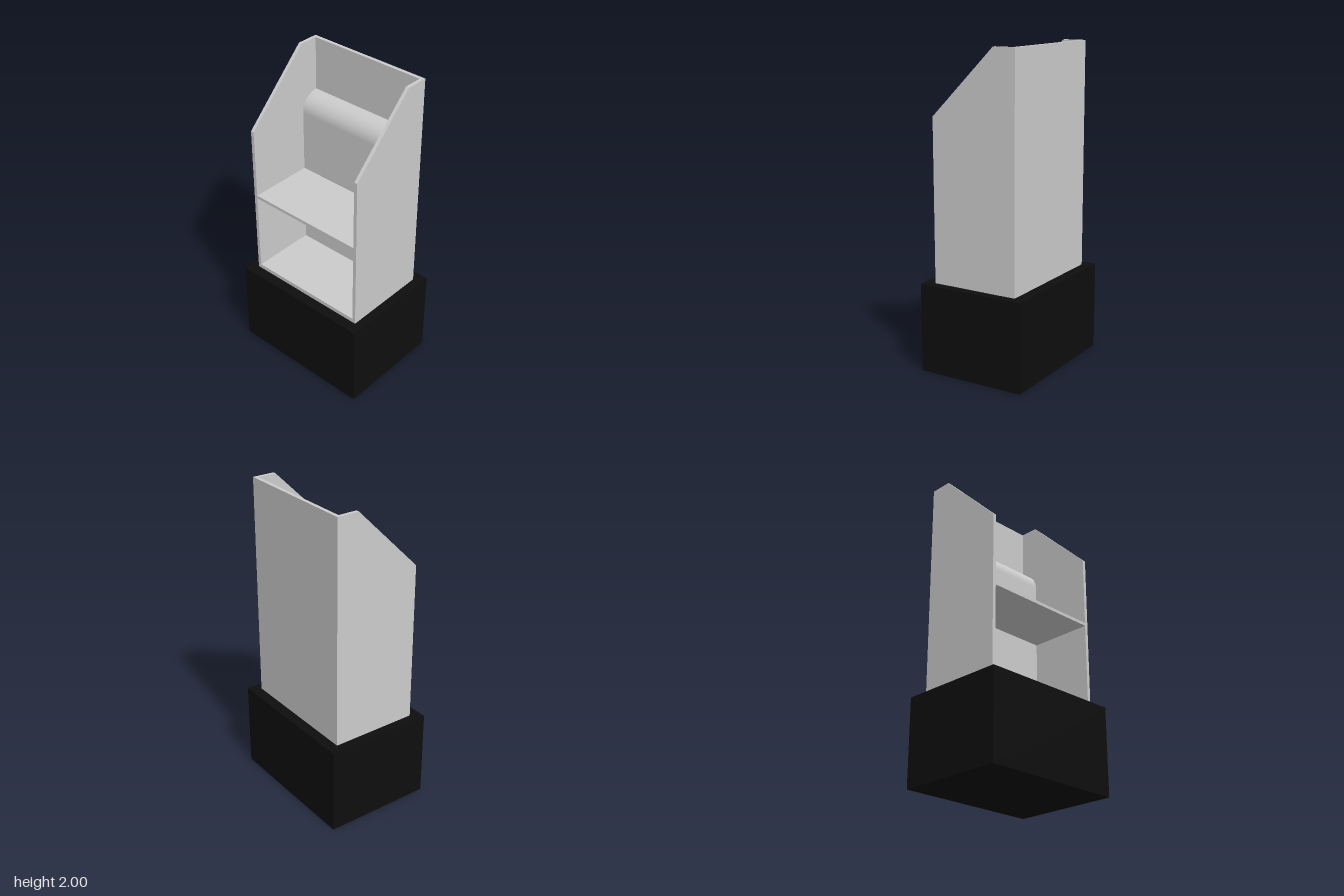
import * as THREE from 'three';
import { toCreasedNormals } from 'three/addons/utils/BufferGeometryUtils.js';

const bodyMaterial = new THREE.MeshStandardMaterial({ color: 0xcccccc });
const baseMaterial = new THREE.MeshStandardMaterial({ color: 0x0e0e0e });

// Main dimensions
const OUTER_X = 0.415, INNER_X = 0.393;
const BACK = -0.283, FRONT = 0.283;
const PANEL_Z = -0.26, RECESS_Z = -0.14;
const BASE_TOP = 0.56, TOP = 2;

export function createModel() {
  const model = new THREE.Group();
  model.name = 'displayCabinet';

  function add(name, geometry, material = bodyMaterial) {
    const mesh = new THREE.Mesh(geometry, material);
    mesh.name = name;
    model.add(mesh);
    return mesh;
  }

  // Box given by its limits in y and z, centred on x
  function addBox(name, width, y0, y1, z0, z1, material) {
    const mesh = add(name, new THREE.BoxGeometry(width, y1 - y0, z1 - z0), material);
    mesh.position.set(0, (y0 + y1) / 2, (z0 + z1) / 2);
  }

  // Side profile drawn in (z, y), extruded along x and centred on it
  function extrudeAcross(shape, width) {
    const geometry = new THREE.ExtrudeGeometry(shape, {
      depth: width, bevelEnabled: false, curveSegments: 16,
    });
    geometry.translate(0, 0, -width / 2);
    geometry.rotateY(-Math.PI / 2);
    return toCreasedNormals(geometry, 0.5);
  }

  // Plinth
  addBox('base', 0.944, 0, BASE_TOP, -0.352, 0.352, baseMaterial);

  // Side panels with a sloping upper front corner
  const sideShape = new THREE.Shape([
    new THREE.Vector2(BACK, BASE_TOP),
    new THREE.Vector2(FRONT, BASE_TOP),
    new THREE.Vector2(FRONT, 1.58),
    new THREE.Vector2(RECESS_Z, TOP),
    new THREE.Vector2(BACK, TOP),
  ]);
  for (const [name, side] of [['leftPanel', 1], ['rightPanel', -1]]) {
    const panel = add(name, extrudeAcross(sideShape, OUTER_X - INNER_X));
    panel.position.x = side * (OUTER_X + INNER_X) / 2;
  }

  // Back panel between the sides
  addBox('backPanel', INNER_X * 2, BASE_TOP, TOP, BACK, PANEL_Z);

  // Thick inner back with a rounded upper front edge
  const radius = RECESS_Z - PANEL_Z, innerTop = 1.655;
  const innerShape = new THREE.Shape();
  innerShape.moveTo(PANEL_Z, BASE_TOP);
  innerShape.lineTo(RECESS_Z, BASE_TOP);
  innerShape.lineTo(RECESS_Z, innerTop - radius);
  innerShape.absarc(PANEL_Z, innerTop - radius, radius, 0, Math.PI / 2, false);
  innerShape.closePath();
  add('roundedInnerBack', extrudeAcross(innerShape, INNER_X * 2));

  // Floor and middle shelf
  addBox('floorPanel', INNER_X * 2, BASE_TOP, 0.587, RECESS_Z, FRONT);
  addBox('middleShelf', INNER_X * 2, 1.108, 1.128, RECESS_Z, FRONT);

  return model;
}
